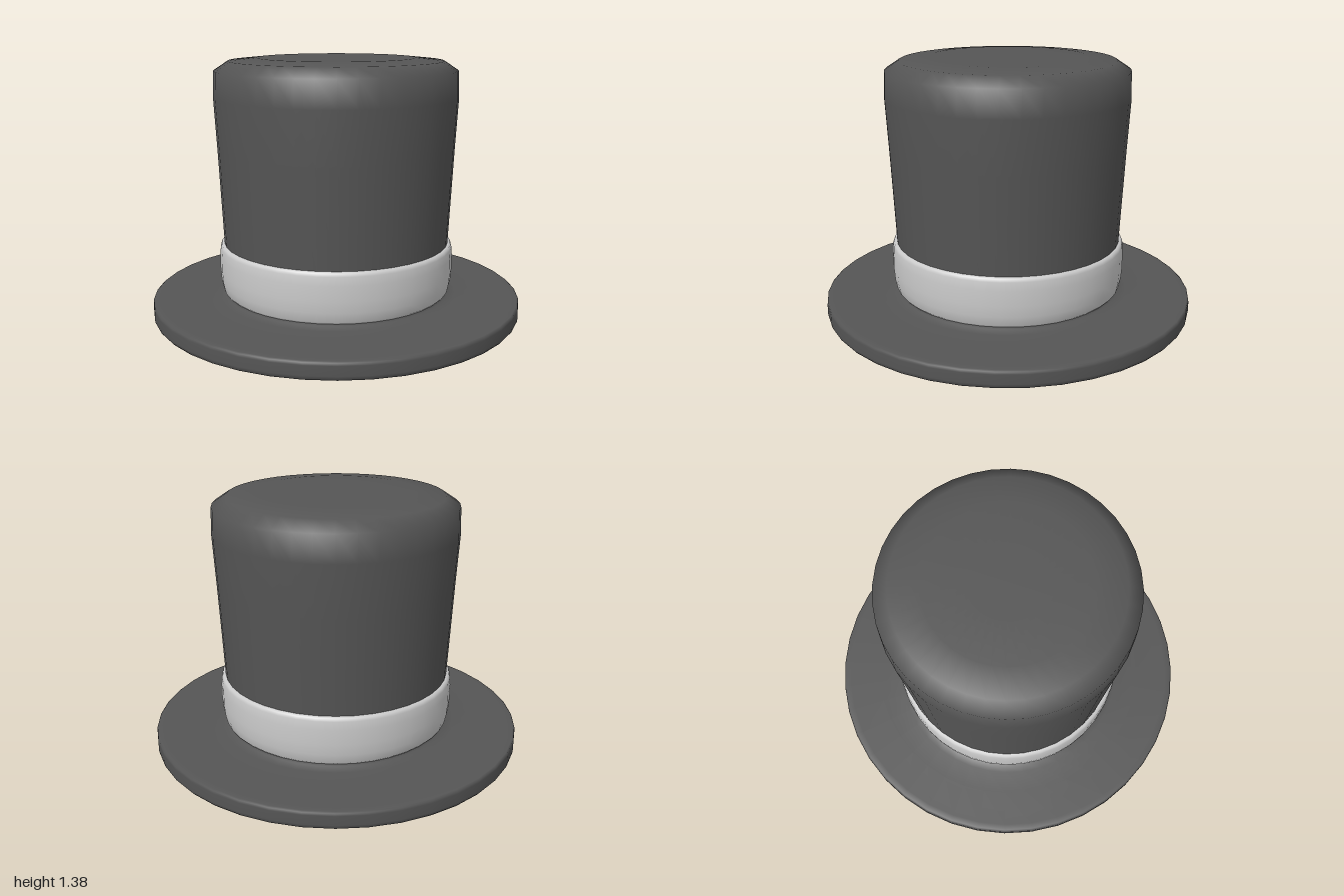
import * as THREE from 'three';

const SIDES = 40;

// Turned part: profile of [radius, height] pairs, ordered upwards along the outside
function turned(name, profile, color) {
  const points = profile.map(([r, y]) => new THREE.Vector2(r, y));
  const mesh = new THREE.Mesh(
    new THREE.LatheGeometry(points, SIDES),
    new THREE.MeshStandardMaterial({ color })
  );
  mesh.name = name;
  return mesh;
}

export function createModel() {
  const hat = new THREE.Group();
  hat.name = 'topHat';

  hat.add(turned('hatBody', [
    // hollow inside, from the middle of the ceiling down to the opening
    [0, 1.33], [0.4, 1.33], [0.54, 1.32], [0.6, 1.28], [0.61, 1.17],
    [0.595, 0.9], [0.57, 0.38], [0.565, 0.16], [0.575, 0.07], [0.595, 0.02],
    // underside and rim of the brim
    [0.62, 0.002], [0.66, 0], [0.97, 0], [0.99, 0.002], [0.998, 0.012],
    [1, 0.025], [1, 0.075], [0.998, 0.088], [0.99, 0.094], [0.96, 0.095],
    // top of the brim, flowing into the crown
    [0.78, 0.096], [0.66, 0.1], [0.615, 0.108], [0.6, 0.13], [0.6, 0.2],
    [0.61, 0.38], [0.635, 0.9], [0.65, 1.17], [0.645, 1.31],
    // rounded shoulder and flat top
    [0.57, 1.36], [0.42, 1.375], [0.2, 1.375], [0, 1.375],
  ], 0x555555));

  // Ribbon around the foot of the crown
  hat.add(turned('hatBand', [
    [0.59, 0.116], [0.608, 0.118], [0.62, 0.13], [0.631, 0.18], [0.636, 0.24],
    [0.636, 0.32], [0.632, 0.365], [0.626, 0.38], [0.615, 0.386], [0.6, 0.386],
  ], 0xcccccc));

  return hat;
}
